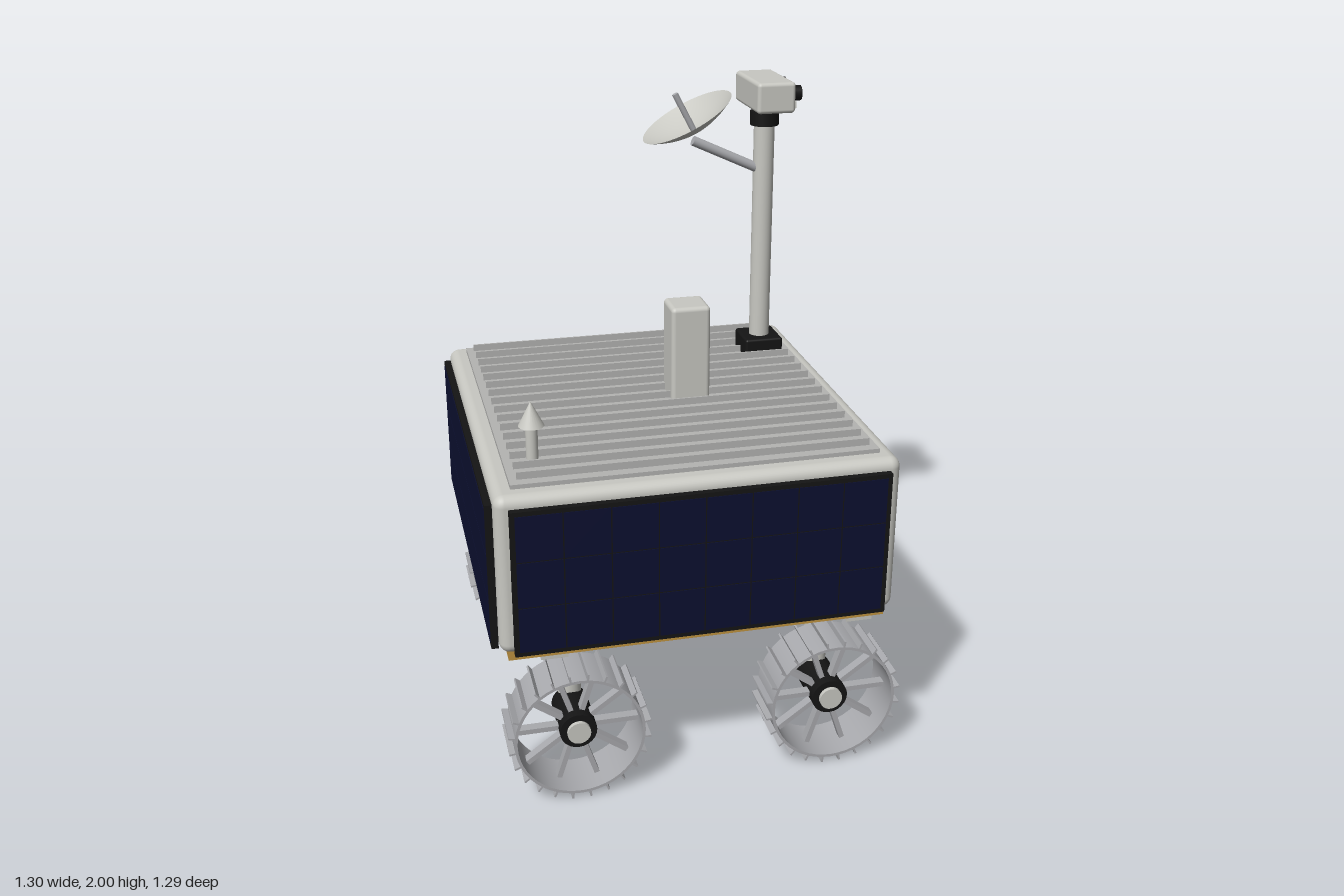
import * as THREE from 'three';
import { RoundedBoxGeometry } from 'three/addons/geometries/RoundedBoxGeometry.js';

const mat = (color, side = THREE.FrontSide) => new THREE.MeshStandardMaterial({ color, side });
const SHELL = mat(0xc8c8c2), DECK = mat(0xb4b4b2), METAL = mat(0xa9aaae), BLACK = mat(0x151515);
const GOLD = mat(0xc0933f), CELL = mat(0x0c1030), DISH = mat(0xc8c8c2, THREE.DoubleSide);

function add(parent, name, geometry, material, x = 0, y = 0, z = 0) {
  const mesh = new THREE.Mesh(geometry, material);
  mesh.name = name;
  mesh.position.set(x, y, z);
  parent.add(mesh);
  return mesh;
}

function group(parent, name, x = 0, y = 0, z = 0) {
  const g = new THREE.Group();
  g.name = name;
  g.position.set(x, y, z);
  parent.add(g);
  return g;
}

// Box given by its limits on each axis
function box(parent, name, material, [x0, x1], [y0, y1], [z0, z1], radius = 0) {
  const s = [x1 - x0, y1 - y0, z1 - z0];
  const geo = radius ? new RoundedBoxGeometry(...s, 4, radius) : new THREE.BoxGeometry(...s);
  return add(parent, name, geo, material, (x0 + x1) / 2, (y0 + y1) / 2, (z0 + z1) / 2);
}

// Round bar between two points
function rod(parent, name, material, from, to, r0, r1 = r0, sides = 24) {
  const a = new THREE.Vector3(...from), b = new THREE.Vector3(...to);
  const dir = b.clone().sub(a);
  const mesh = add(parent, name, new THREE.CylinderGeometry(r1, r0, dir.length(), sides), material);
  mesh.position.copy(a).add(b).multiplyScalar(0.5);
  mesh.quaternion.setFromUnitVectors(new THREE.Vector3(0, 1, 0), dir.normalize());
  return mesh;
}

// Solar panel facing +z, back face at z = 0
function solarPanel(parent, name, width, height, cols) {
  const g = group(parent, name);
  const rows = 3, margin = 0.012, gap = 0.004;
  box(g, 'panelFrame', BLACK, [-width / 2, width / 2], [-height / 2, height / 2], [0, 0.021]);
  const w = (width - 2 * margin) / cols, h = (height - 2 * margin) / rows;
  const cell = new THREE.BoxGeometry(w - gap, h - gap, 0.004);
  for (let i = 0; i < cols; i++) {
    for (let j = 0; j < rows; j++) {
      add(g, 'solarCell', cell, CELL, (i - (cols - 1) / 2) * w, (j - (rows - 1) / 2) * h, 0.021);
    }
  }
  return g;
}

// Wheel with its axle along z, outer side towards +z
function wheel(parent) {
  const g = group(parent, 'wheel', 0.4, 0.22, 0.52);
  const section = [[0.191, -0.08], [0.2, -0.08], [0.2, 0.08], [0.191, 0.08], [0.191, -0.08]];
  // Each edge is a separate band so that corners stay sharp
  for (let i = 0; i < 4; i++) {
    const pts = [section[i], section[i + 1]].map(p => new THREE.Vector2(...p));
    add(g, 'rim', new THREE.LatheGeometry(pts, 48), METAL).rotation.x = Math.PI / 2;
  }
  const treads = 24, spokes = 10;
  for (let i = 0; i < treads; i++) {
    const a = (i + 0.5) / treads * Math.PI * 2;
    const t = add(g, 'tread', new THREE.BoxGeometry(0.022, 0.006, 0.16), METAL,
      Math.cos(a) * 0.208, Math.sin(a) * 0.208, 0);
    t.rotation.z = a;
  }
  for (let i = 0; i < spokes; i++) {
    const a = i / spokes * Math.PI * 2;
    const s = add(g, 'spoke', new THREE.BoxGeometry(0.15, 0.016, 0.03), METAL,
      Math.cos(a) * 0.12, Math.sin(a) * 0.12, 0);
    s.rotation.z = a;
  }
  rod(g, 'hub', BLACK, [0, 0, -0.12], [0, 0, 0.045], 0.057);
  rod(g, 'hubCap', SHELL, [0, 0, 0.04], [0, 0, 0.058], 0.036);
}

// Wheel, leg and suspension for the +x +z corner
function corner(parent, sx, sz) {
  const g = group(parent, 'wheelAssembly');
  wheel(g);
  rod(g, 'leg', SHELL, [0.4, 0.2, 0.402], [0.4, 0.5, 0.402], 0.037);
  box(g, 'steeringMotor', BLACK, [0.335, 0.475], [0.45, 0.525], [0.345, 0.455], 0.01);
  box(g, 'suspensionBox', BLACK, [0.165, 0.34], [0.46, 0.525], [0.18, 0.31], 0.008);
  rod(g, 'suspensionArm', SHELL, [0.4, 0.49, 0.37], [0.4, 0.485, 0.21], 0.03);
  rod(g, 'shoulderJoint', SHELL, [0.32, 0.495, 0.235], [0.43, 0.495, 0.235], 0.042);
  rod(g, 'shoulderCap', BLACK, [0.425, 0.5, 0.235], [0.44, 0.5, 0.235], 0.03);
  box(g, 'hazardCamera', BLACK, [0.51, 0.57], [0.475, 0.522], [0.39, 0.44], 0.006);
  box(g, 'bottomTab', SHELL, [0.43, 0.51], [0.505, 0.525], [0.575, 0.595]);
  g.scale.set(sx, 1, sz);
}

export function createModel() {
  const model = new THREE.Group();
  model.name = 'rover';

  // Body, underside and top deck
  box(model, 'body', SHELL, [-0.63, 0.567], [0.55, 1.05], [-0.623, 0.623], 0.032);
  box(model, 'bottomPlate', GOLD, [-0.605, 0.545], [0.52, 0.555], [-0.6, 0.6]);
  box(model, 'deckPlate', DECK, [-0.575, 0.515], [1.04, 1.063], [-0.567, 0.567]);
  for (let i = 0; i < 16; i++) {
    const z = -0.535 + i * 0.0711;
    box(model, 'deckRib', DECK, [-0.552, 0.494], [1.06, 1.085], [z - 0.003, z + 0.003]);
  }
  box(model, 'sideBox', GOLD, [0.56, 0.645], [0.665, 0.82], [0.097, 0.305], 0.01);
  rod(model, 'bellyProbe', METAL, [0.073, 0.39, 0], [0.073, 0.525, 0], 0.01, 0.025);

  // Solar panels on front, back and right side
  solarPanel(model, 'frontPanel', 1.12, 0.46, 8).position.set(-0.03, 0.785, 0.622);
  const back = solarPanel(model, 'backPanel', 1.12, 0.46, 8);
  back.position.set(-0.03, 0.785, -0.622);
  back.rotation.y = Math.PI;
  const side = solarPanel(model, 'sidePanel', 1.17, 0.46, 8);
  side.position.set(-0.63, 0.785, -0.003);
  side.rotation.y = -Math.PI / 2;

  // Deck equipment
  box(model, 'deckTower', SHELL, [0.01, 0.135], [1.05, 1.365], [-0.065, 0.06], 0.014);
  rod(model, 'antennaStem', SHELL, [-0.487, 1.05, 0.397], [-0.487, 1.17, 0.397], 0.018);
  add(model, 'antennaTip', new THREE.ConeGeometry(0.038, 0.075, 24), SHELL, -0.487, 1.202, 0.397);

  // Camera mast
  const mast = group(model, 'mast', 0.41, 0, -0.322);
  box(mast, 'mastBase', BLACK, [-0.065, 0.065], [1.05, 1.125], [-0.068, 0.068], 0.008);
  rod(mast, 'mastPole', SHELL, [0, 1.1, 0], [0, 1.86, 0], 0.034);
  rod(mast, 'mastCollar', BLACK, [0, 1.845, 0], [0, 1.89, 0], 0.047);
  rod(mast, 'mastNeck', SHELL, [0, 1.88, 0], [0, 1.92, 0], 0.03);
  box(mast, 'cameraHead', SHELL, [-0.063, 0.062], [1.903, 2], [-0.133, 0.133], 0.012);
  for (const s of [-1, 1]) {
    rod(mast, 'cameraLens', BLACK, [0.055, 1.958, s * 0.081], [0.092, 1.958, s * 0.081], 0.024);
    box(mast, 'smallSensor', SHELL, [0.055, 0.073], [1.913, 1.935], [s * 0.075 - 0.028, s * 0.075 + 0.028]);
  }
  rod(mast, 'dishArm', METAL, [-0.015, 1.7, 0], [-0.24, 1.803, 0], 0.016);

  // Dish antenna, its axis tilted towards -x
  const dish = group(model, 'dishAntenna', 0.15, 1.88, -0.325);
  const depth = 0.052, profile = [];
  for (let i = 0; i <= 10; i++) {
    const t = i / 10;
    profile.push(new THREE.Vector2(0.16 * t, depth * (t * t - 1)));
  }
  add(dish, 'dishBowl', new THREE.LatheGeometry(profile, 48), DISH);
  rod(dish, 'dishFeed', METAL, [0, -depth, 0], [0, 0.085, 0], 0.01, 0.01, 16);
  dish.rotation.z = THREE.MathUtils.degToRad(28);

  // Four mirrored wheel assemblies
  for (const sx of [-1, 1]) for (const sz of [-1, 1]) corner(model, sx, sz);

  return model;
}
